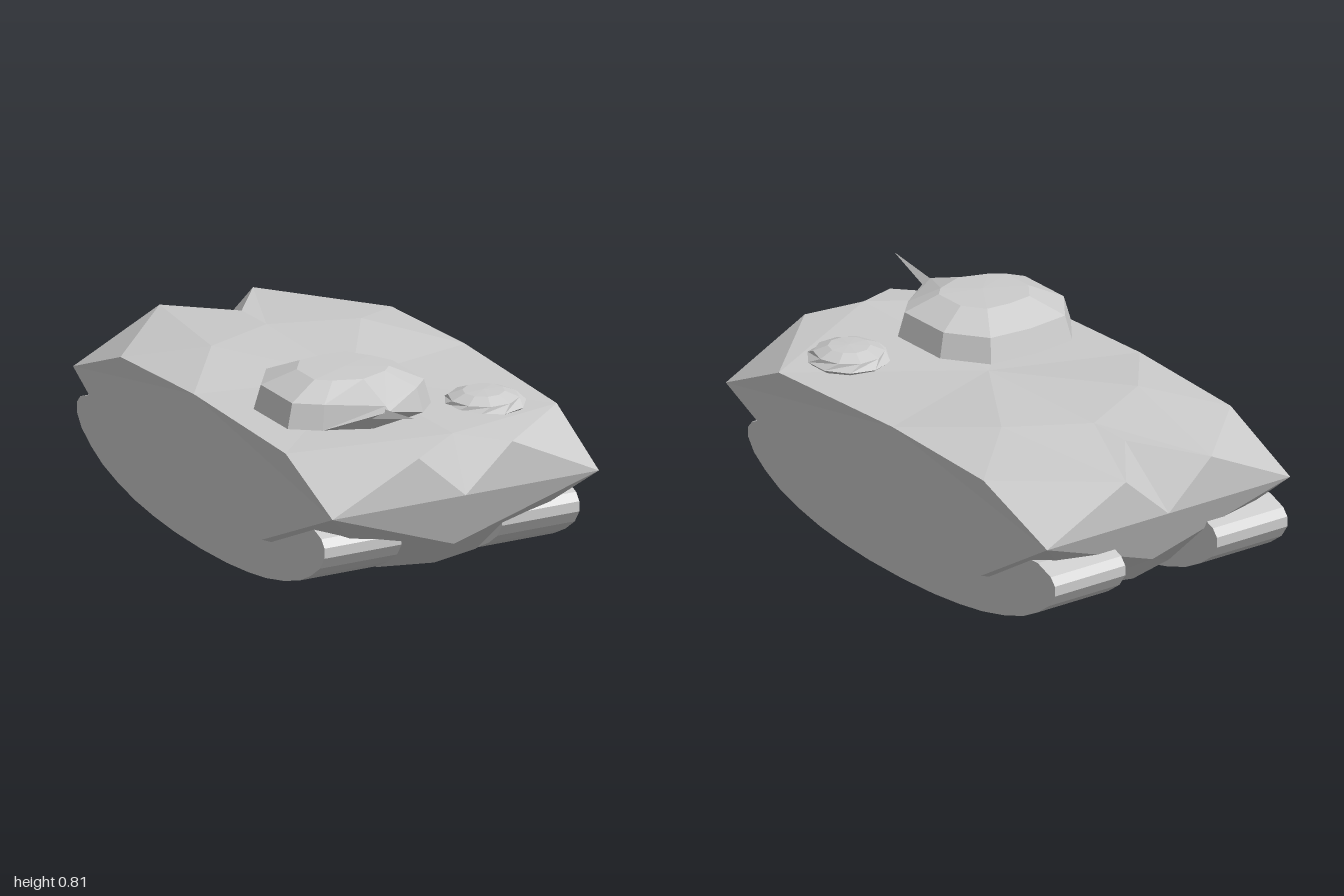
import * as THREE from 'three';

const grey = new THREE.MeshStandardMaterial({ color: 0xcccccc, flatShading: true, side: THREE.DoubleSide });

// Mesh from triangles of points, each wound to face away from an inner point
function shell(name, tris, inner) {
  const pos = [];
  const centre = new THREE.Vector3(...inner);
  for (const tri of tris) {
    const [a, b, c] = tri.map(p => new THREE.Vector3(...p));
    const n = b.clone().sub(a).cross(c.clone().sub(a));
    const out = n.dot(a.clone().sub(centre)) >= 0 ? [a, b, c] : [a, c, b];
    out.forEach(v => pos.push(v.x, v.y, v.z));
  }
  const geo = new THREE.BufferGeometry();
  geo.setAttribute('position', new THREE.Float32BufferAttribute(pos, 3));
  geo.computeVertexNormals();
  const mesh = new THREE.Mesh(geo, grey);
  mesh.name = name;
  return mesh;
}

// Triangles joining a stack of equal-sized rings, closed by an end point each
function ringTris(bottom, rings, top) {
  const tris = [];
  const n = rings[0].length;
  for (let i = 0; i < n; i++) {
    const j = (i + 1) % n;
    tris.push([bottom, rings[0][i], rings[0][j]]);
    for (let k = 0; k + 1 < rings.length; k++) {
      const lo = rings[k], hi = rings[k + 1];
      tris.push([lo[i], lo[j], hi[j]], [lo[i], hi[j], hi[i]]);
    }
    const last = rings[rings.length - 1];
    tris.push([top, last[i], last[j]]);
  }
  return tris;
}

// Faceted hull: corner points of the left half, mirrored
function makeHull() {
  const v = {
    // deck
    A: [0.58, 0.60, 0.66], B: [0.58, 0.62, -0.04], C: [0.58, 0.595, -0.6],
    D: [0.32, 0.665, -0.37], E: [0, 0.65, -0.52], F: [0, 0.645, -0.71],
    G: [0.2, 0.62, -0.98], I: [0.2, 0.62, 1], J: [0, 0.655, 0.9], M: [0, 0.64, 0.13],
    // widest front and rear edges
    H: [0.57, 0.44, -0.98], K: [0.57, 0.44, 1], Z: [0, 0.44, 1], Y: [0, 0.44, -0.98],
    // lower side edge
    P: [0.575, 0.2, 0.47], W: [0.58, 0.225, -0.05], Q: [0.575, 0.2, -0.58],
    // nose, tail and belly
    N: [0, 0.22, 0.91], O: [0, 0.22, -0.88], S: [0.21, 0.1, 0.7], R: [0.21, 0.1, -0.7],
    T: [0, 0.1, 0.76], U: [0, 0.1, -0.76],
  };
  const faces = 'JIA JAM ABM BDM BCD DEM DGE CGD EGF CHG AIK ' +   // deck and corners
    'JIZ IKZ FGY GHY ' +                                          // upper nose and tail
    'ZKN NKS NST YHO OHR ORU ' +                                  // lower nose and tail
    'BAK BKP BPW BWQ BQH BHC ' +                                  // side
    'KPS PWS WSR WQR QHR TSR TRU';                                // underside
  const tris = [];
  for (const f of faces.split(' ')) {
    const t = [...f].map(k => v[k]);
    tris.push(t, t.map(([x, y, z]) => [-x, y, z]));
  }
  return shell('hull', tris, [0, 0.35, 0]);
}

// Track: lens-shaped side profile extruded across its width
function makeTrack(side) {
  const half = [[0, 0], [0.2, 0.005], [0.36, 0.018], [0.5, 0.037], [0.63, 0.066], [0.75, 0.104],
    [0.84, 0.15], [0.91, 0.2], [0.945, 0.25], [0.945, 0.29], [0.92, 0.32], [0.84, 0.35]];
  const outline = [...half, ...half.slice(1).reverse().map(([z, y]) => [-z, y])];
  const shape = new THREE.Shape(outline.map(([z, y]) => new THREE.Vector2(z, y)));
  const geo = new THREE.ExtrudeGeometry(shape, { depth: 0.33, bevelEnabled: false });
  geo.translate(0, 0, -0.165);
  geo.rotateY(-Math.PI / 2);
  const mesh = new THREE.Mesh(geo, grey);
  mesh.position.set(side * 0.38, 0, -0.05);
  mesh.name = side > 0 ? 'leftTrack' : 'rightTrack';
  return mesh;
}

// Turret: ten-sided, with its front rim lifted over an undercut
function makeTurret() {
  const cx = -0.21, cz = 0.44;
  const plan = [[0.01, 0.335], [0.23, 0.2], [0.308, 0.12], [0.308, -0.14], [0.19, -0.3],
    [0, -0.32], [-0.19, -0.3], [-0.305, -0.14], [-0.305, 0.12], [-0.2, 0.2]];
  const scaled = (s, y) => plan.map(([x, z]) => [cx + x * s, y, cz + z * s]);
  const rim = scaled(1, 0.655);
  rim[0][1] = 0.735;
  const shoulder = scaled(0.92, 0.75);
  const foot = scaled(0.6, 0.62);
  const crown = scaled(0.52, 0.808);
  crown[0][2] -= 0.03;
  const tris = ringTris([cx, 0.62, cz], [foot, rim, shoulder, crown], [cx, 0.813, cz]);
  return shell('turret', tris, [cx, 0.71, cz]);
}

// Gun: thin tapering spike rising out of the undercut
function makeGun() {
  const tip = [-0.208, 0.772, 0.985];
  const base = [[-0.208, 0.735, 0.72], [-0.17, 0.66, 0.6], [-0.245, 0.66, 0.6]];
  const tris = base.map((p, i) => [tip, p, base[(i + 1) % 3]]);
  return shell('gun', [...tris, base], [-0.208, 0.705, 0.7]);
}

// Hatch dome: low faceted cap on the deck
function makeHatch() {
  const cx = 0.315, cz = 0.575, n = 10;
  const ring = (r, y, turn) => Array.from({ length: n }, (_, i) => {
    const a = (i + turn) / n * Math.PI * 2;
    return [cx + Math.sin(a) * r, y, cz + Math.cos(a) * r];
  });
  const rings = [ring(0.14, 0.605, 0), ring(0.162, 0.625, 0), ring(0.135, 0.65, 0.5), ring(0.08, 0.672, 0.5)];
  return shell('hatch', ringTris([cx, 0.6, cz], rings, [cx, 0.676, cz]), [cx, 0.63, cz]);
}

export function createModel() {
  const model = new THREE.Group();
  model.name = 'tank';
  model.add(makeHull(), makeTrack(1), makeTrack(-1), makeTurret(), makeGun(), makeHatch());
  return model;
}
